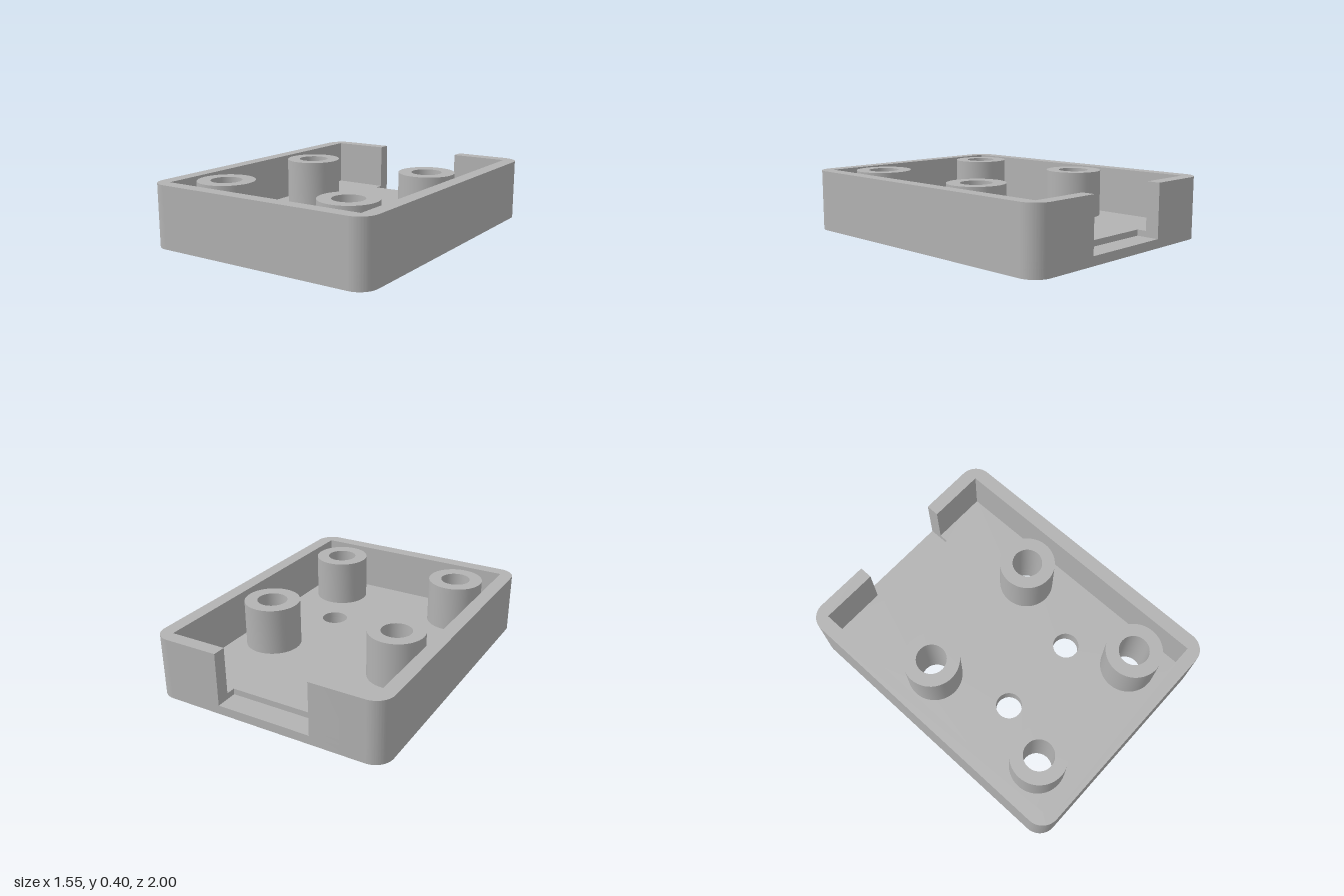
import * as THREE from 'three';
import { toCreasedNormals } from 'three/addons/utils/BufferGeometryUtils.js';

const W = 0.775, D = 1, R = 0.115;        // outer half sizes and corner radius
const IW = 0.686, ID = 0.914;             // inner half sizes
const SILL = 0.057, FLOOR = 0.095, TOP = 0.398;
const NOTCH_X = 0.31, NOTCH_Z = 0.853;    // cut-out in the back wall

const posts = [[-0.45, -0.226], [0.45, -0.226], [-0.45, 0.674], [0.45, 0.674]];
const drains = [[-0.282, 0.28], [0.282, 0.28]];

// Shapes are drawn in plan, with shape y pointing to the back (-z).
function circlePath(x, z, r, Type = THREE.Path) {
  const p = new Type();
  p.absarc(x, -z, r, 0, Math.PI * 2, false);
  return p;
}

// Rounded outline starting and ending at the back cut-out
function startOutline() {
  const s = new THREE.Shape();
  s.moveTo(-NOTCH_X, D);
  s.lineTo(-W + R, D);
  s.absarc(-W + R, D - R, R, Math.PI / 2, Math.PI, false);
  s.absarc(-W + R, -D + R, R, Math.PI, Math.PI * 1.5, false);
  s.absarc(W - R, -D + R, R, -Math.PI / 2, 0, false);
  s.absarc(W - R, D - R, R, 0, Math.PI / 2, false);
  s.lineTo(NOTCH_X, D);
  return s;
}

function addHoles(shape) {
  posts.forEach(([x, z]) => shape.holes.push(circlePath(x, z, 0.097)));
  drains.forEach(([x, z]) => shape.holes.push(circlePath(x, z, 0.085)));
  return shape;
}

function slab(name, shape, y0, y1, material) {
  let geo = new THREE.ExtrudeGeometry(shape, { depth: y1 - y0, bevelEnabled: false, curveSegments: 24 });
  geo.rotateX(-Math.PI / 2);
  geo.translate(0, y0, 0);
  geo = toCreasedNormals(geo, 0.6);
  const mesh = new THREE.Mesh(geo, material);
  mesh.name = name;
  return mesh;
}

export function createModel() {
  const grey = new THREE.MeshStandardMaterial({ color: 0xb2b2b2 });
  grey.name = 'grey';
  const group = new THREE.Group();
  group.name = 'enclosureTray';

  // Bottom plate, full outline
  group.add(slab('bottomPlate', addHoles(startOutline()), 0, SILL, grey));

  // Upper floor, cut back behind the opening
  const floor = startOutline();
  floor.lineTo(NOTCH_X, NOTCH_Z);
  floor.lineTo(-NOTCH_X, NOTCH_Z);
  group.add(slab('floor', addHoles(floor), SILL, FLOOR, grey));

  // Wall running round from one side of the opening to the other
  const wall = startOutline();
  [[NOTCH_X, ID], [IW, ID], [IW, -ID], [-IW, -ID], [-IW, ID], [-NOTCH_X, ID]]
    .forEach(([x, y]) => wall.lineTo(x, y));
  group.add(slab('wall', wall, FLOOR, TOP, grey));

  // Hollow mounting posts
  posts.forEach(([x, z]) => {
    const ring = circlePath(x, z, 0.18, THREE.Shape);
    ring.holes.push(circlePath(x, z, 0.097));
    group.add(slab('mountingPost', ring, FLOOR, TOP, grey));
  });

  return group;
}
